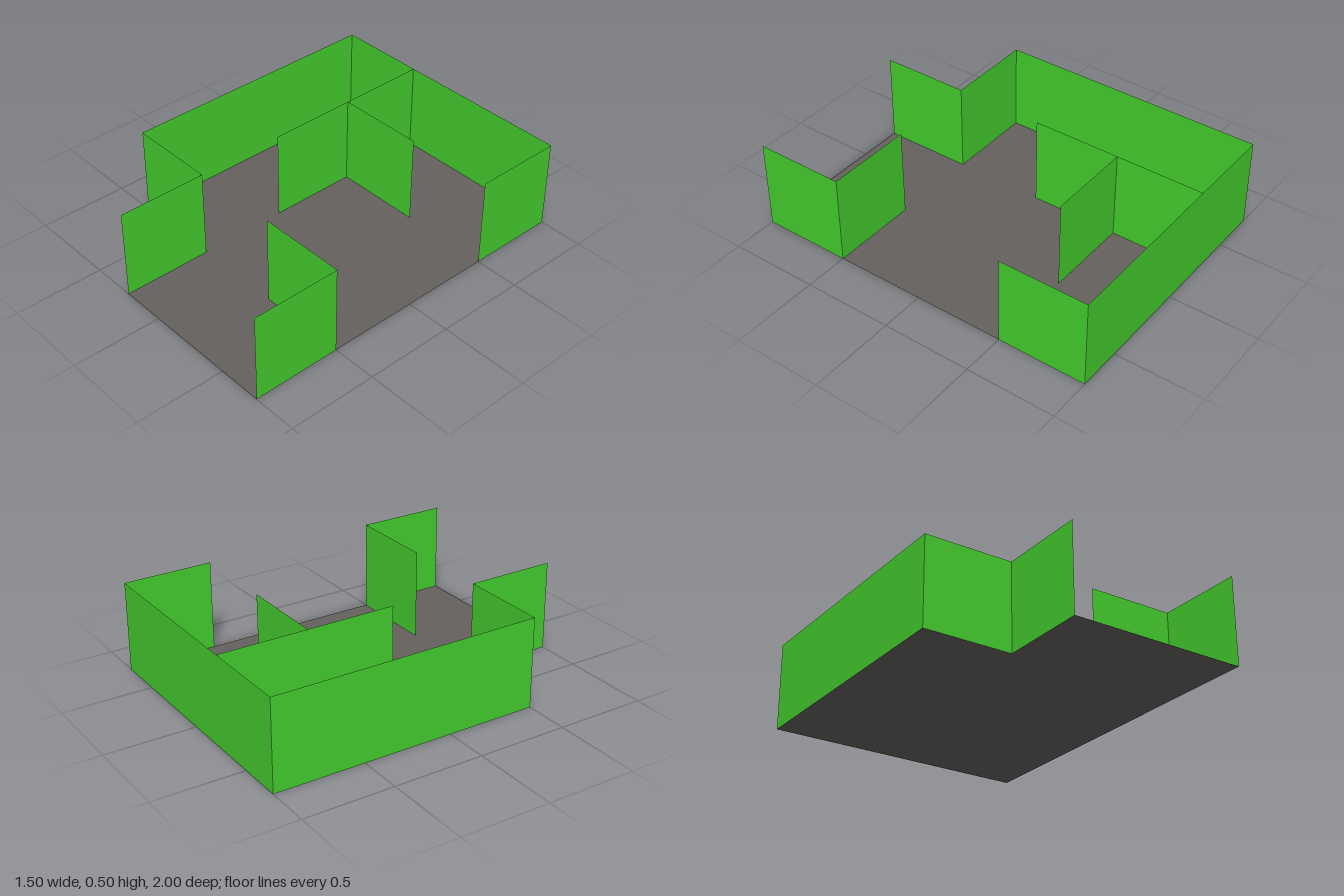
import * as THREE from 'three';

const HEIGHT = 0.5;

export function createModel() {
  const model = new THREE.Group();
  model.name = 'floorPlan';

  const green = new THREE.MeshStandardMaterial({ color: 0x44cc2d, side: THREE.DoubleSide });
  green.name = 'wall green';
  const grey = new THREE.MeshStandardMaterial({ color: 0x65615e, side: THREE.DoubleSide });
  grey.name = 'floor grey';

  // L-shaped floor, drawn as (x, -z) and laid flat facing up
  const outline = [[-0.75, 1], [0.75, 1], [0.75, -1], [-0.25, -1], [-0.25, -0.5], [-0.75, -0.5]];
  const shape = new THREE.Shape(outline.map(([x, y]) => new THREE.Vector2(x, y)));
  const floor = new THREE.Mesh(new THREE.ShapeGeometry(shape).rotateX(-Math.PI / 2), grey);
  floor.name = 'floor';
  model.add(floor);

  // Paper-thin wall standing between two floor points
  function addWall(name, x1, z1, x2, z2) {
    const geometry = new THREE.PlaneGeometry(Math.hypot(x2 - x1, z2 - z1), HEIGHT);
    const wall = new THREE.Mesh(geometry, green);
    wall.name = name;
    wall.position.set((x1 + x2) / 2, HEIGHT / 2, (z1 + z2) / 2);
    wall.rotation.y = Math.atan2(z1 - z2, x2 - x1);
    model.add(wall);
  }

  // Outer walls
  addWall('backWall', -0.75, -1, 0.75, -1);
  addWall('rightWall', -0.75, -1, -0.75, 0.5);
  addWall('notchFrontWall', -0.75, 0.5, -0.25, 0.5);
  addWall('notchSideWall', -0.25, 0.5, -0.25, 1);
  addWall('leftBackWall', 0.75, -0.5, 0.75, -1);
  addWall('leftFrontWall', 0.75, 1, 0.75, 0.5);

  // Inner partitions
  addWall('longPartition', -0.25, 0, -0.25, -1);
  addWall('backPartition', -0.25, -0.5, 0.25, -0.5);
  addWall('frontPartition', 0.25, 0.5, 0.75, 0.5);

  return model;
}
